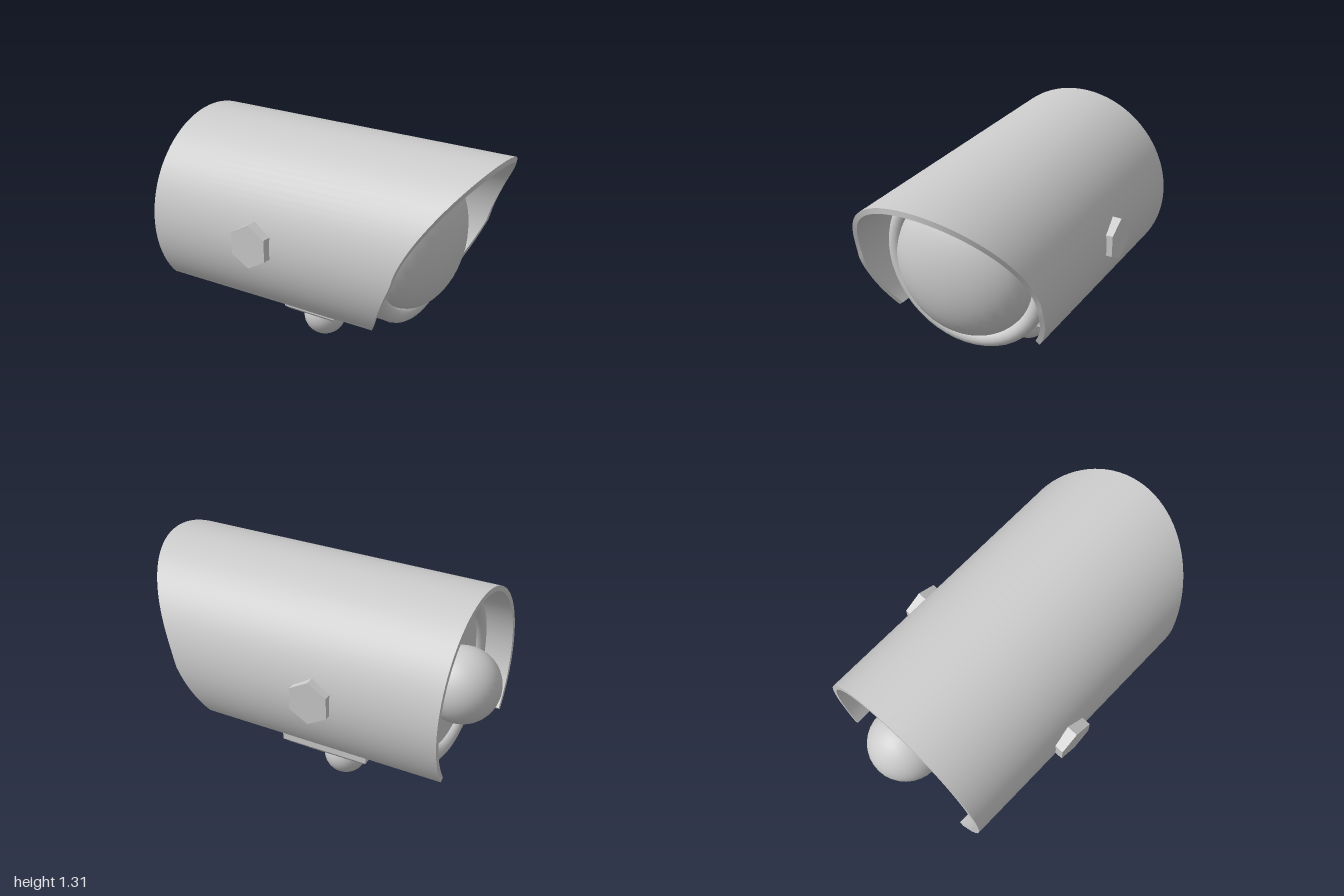
import * as THREE from 'three';
import { toCreasedNormals } from 'three/addons/utils/BufferGeometryUtils.js';

const YAW = 0.193; // the lamp housing points along local +x, turned about y
const rad = THREE.MathUtils.degToRad;
const grey = new THREE.MeshStandardMaterial({ color: 0xcccccc });
const faceted = new THREE.MeshStandardMaterial({ color: 0xcccccc, flatShading: true });

function add(parent, name, geometry, x = 0, y = 0, z = 0, material = grey) {
  const mesh = new THREE.Mesh(geometry, material);
  mesh.name = name;
  mesh.position.set(x, y, z);
  parent.add(mesh);
  return mesh;
}

// Open-bottomed round hood with a curved, slanted front lip
function hoodGeometry() {
  const steps = 64, radius = 0.556, thick = 0.03, rear = -0.858;
  const positions = [], index = [];
  for (let i = 0; i <= steps; i++) {
    const t = i / steps;
    const aRear = rad(THREE.MathUtils.lerp(-42, 214.5, t));
    const aFront = rad(THREE.MathUtils.lerp(-38.5, 213, t));
    // lip swells forward to a rounded tip above, slopes back below
    const s = Math.sin(aFront);
    const front = 0.7 + (s > 0 ? 0.32 * s ** 1.35 : 0.258 * Math.asin(s));
    const corner = (x, a, inset) =>
      positions.push(x, (radius - inset) * Math.sin(a), (radius - inset) * Math.cos(a));
    corner(rear, aRear, 0);
    corner(front, aFront, 0);
    corner(front, aFront, thick);
    corner(rear, aRear, thick);
  }
  for (let i = 0; i < steps; i++) {
    for (let k = 0; k < 4; k++) {
      const a = i * 4 + k, b = i * 4 + (k + 1) % 4;
      index.push(a, b, b + 4, a, b + 4, a + 4);
    }
  }
  const e = steps * 4;
  index.push(0, 2, 1, 0, 3, 2, e, e + 1, e + 2, e, e + 2, e + 3);
  const geometry = new THREE.BufferGeometry();
  geometry.setAttribute('position', new THREE.Float32BufferAttribute(positions, 3));
  geometry.setIndex(index);
  return toCreasedNormals(geometry, 0.6);
}

// Square plate with a chamfered lower edge
function plateGeometry(half, height, chamfer) {
  const r = half * Math.SQRT2, c = chamfer * Math.SQRT2;
  const profile = [[0, 0], [r - c, 0], [r, chamfer], [r, height], [0, height]]
    .map(([x, y]) => new THREE.Vector2(x, y));
  return new THREE.LatheGeometry(profile, 4).rotateY(Math.PI / 4);
}

export function createModel() {
  const model = new THREE.Group();
  model.name = 'floodlight';
  const lamp = new THREE.Group();
  lamp.name = 'lampHousing';
  lamp.rotation.y = YAW;
  model.add(lamp);
  const cy = 0.79, cz = -0.027;

  // Hood and cylindrical body
  add(lamp, 'hood', hoodGeometry(), 0, 0.755, -0.018);
  const body = new THREE.CylinderGeometry(0.487, 0.487, 1.2, 48).rotateZ(Math.PI / 2);
  add(lamp, 'body', body, -0.09, cy, cz);

  // Rounded rims at both ends
  const rim = new THREE.TorusGeometry(0.445, 0.045, 16, 48).rotateY(Math.PI / 2);
  add(lamp, 'frontRim', rim, 0.515, cy, cz);
  add(lamp, 'rearRim', rim, -0.685, cy, cz);

  // Domed front lens and rear ball
  const lens = add(lamp, 'lens', new THREE.SphereGeometry(0.403, 32, 24), 0.53, cy, cz);
  lens.scale.x = 0.58;
  add(lamp, 'rearBall', new THREE.SphereGeometry(0.21, 32, 24), -0.79, cy, -0.075);

  // Hexagonal side bolts, point up
  const bolt = new THREE.CylinderGeometry(0.125, 0.125, 0.08, 6)
    .rotateX(Math.PI / 2);
  for (const side of [1, -1]) {
    add(lamp, side > 0 ? 'frontBolt' : 'backBolt', bolt,
      -0.152, 0.778, -0.012 + side * 0.555, faceted);
  }

  // Stepped mounting base and swivel ball
  add(lamp, 'upperPlate', plateGeometry(0.262, 0.105, 0.03), -0.087, 0.25, -0.057, faceted);
  add(lamp, 'lowerPlate', plateGeometry(0.175, 0.07, 0.02), -0.087, 0.185, -0.057, faceted);
  add(lamp, 'swivelBall', new THREE.SphereGeometry(0.125, 32, 24), -0.098, 0.125, -0.065);

  return model;
}
